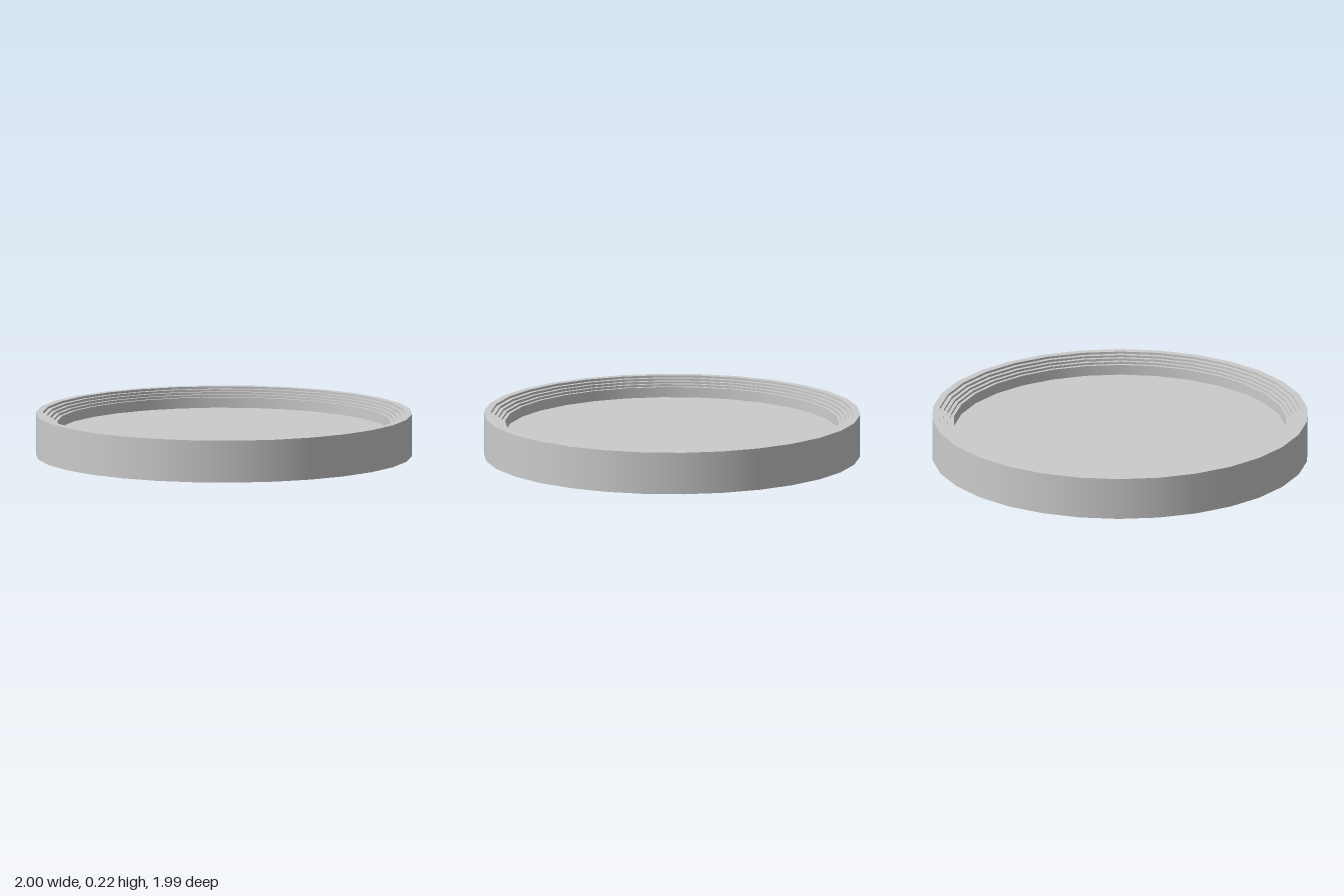
import * as THREE from 'three';

export function createModel() {
  const group = new THREE.Group();
  const material = new THREE.MeshStandardMaterial({ color: 0xcccccc, side: THREE.DoubleSide });
  const sides = 30;
  const height = 0.225;
  const stepDrop = 0.012;
  const floorY = 0.122;
  const radii = [1, 0.962, 0.941, 0.922, 0.904, 0.887];

  const add = (name, geometry, y) => {
    const mesh = new THREE.Mesh(geometry, material);
    mesh.name = name;
    mesh.position.y = y;
    group.add(mesh);
  };

  // Nested thin walls, all standing on the ground, each inner one slightly lower
  radii.forEach((r, i) => {
    const h = height - stepDrop * Math.max(0, i - 1);
    add(i === 0 ? 'outerWall' : `innerWall${i}`,
      new THREE.CylinderGeometry(r, r, h, sides, 1, true, Math.PI / sides), h / 2);
  });

  // Flat treads closing the tops of the gaps; the undersides stay open
  for (let i = 0; i < radii.length - 1; i++) {
    const tread = new THREE.RingGeometry(radii[i + 1], radii[i], sides).rotateX(-Math.PI / 2);
    add(i === 0 ? 'rim' : `step${i}`, tread, height - stepDrop * i);
  }

  // Recessed floor disc
  const floor = new THREE.CircleGeometry(radii[radii.length - 1], sides).rotateX(-Math.PI / 2);
  add('floor', floor, floorY);

  return group;
}
